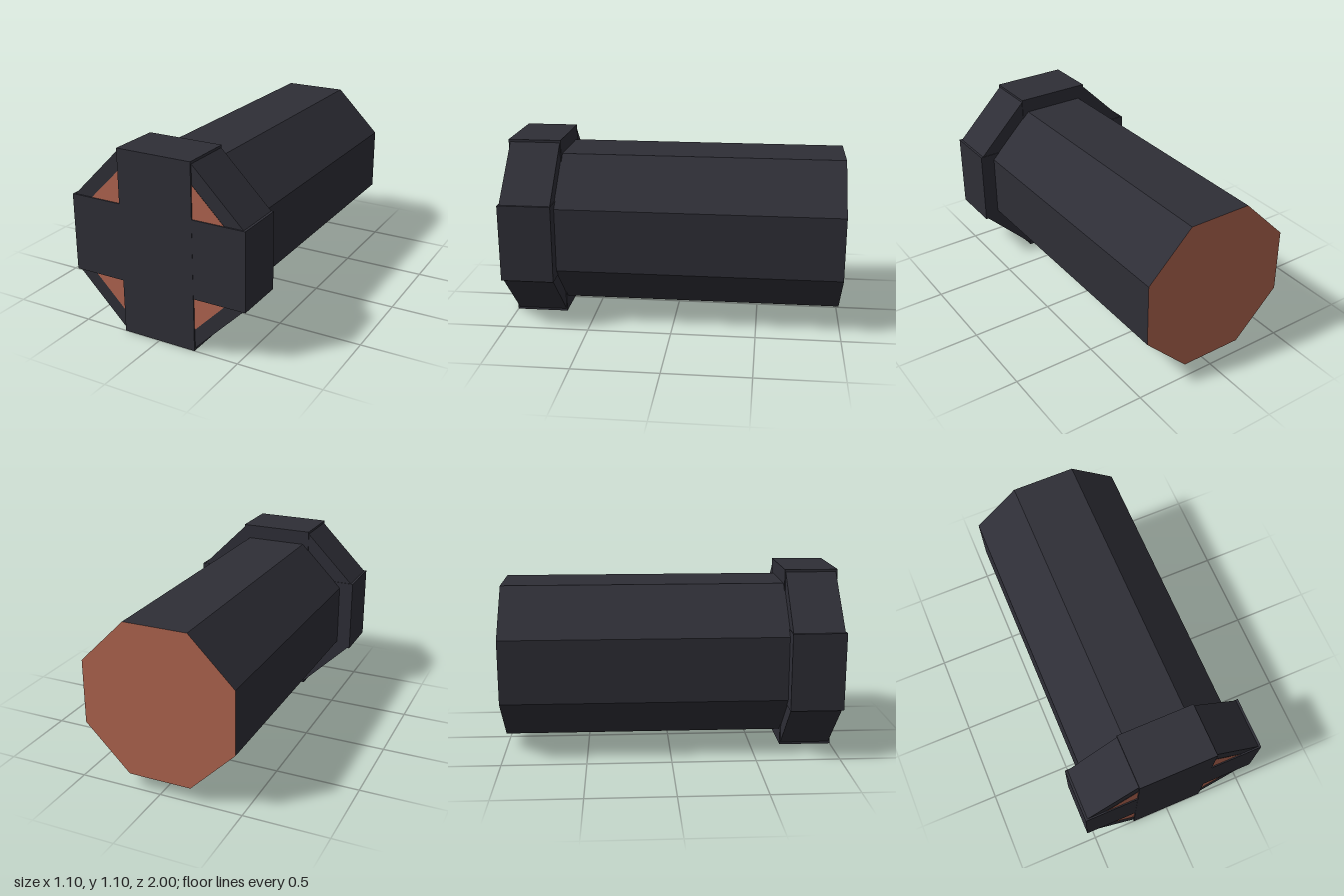
import * as THREE from 'three';

const CENTER_Y = 0.548;

export function createModel() {
  const group = new THREE.Group();
  const dark = new THREE.MeshStandardMaterial({ color: 0x2e2e36 });
  dark.name = 'charcoal';
  const copper = new THREE.MeshStandardMaterial({ color: 0xad634e });
  copper.name = 'copper';

  const add = (name, geometry, material, z0, z1) => {
    const mesh = new THREE.Mesh(geometry, material);
    mesh.name = name;
    mesh.position.set(0, CENTER_Y, (z0 + z1) / 2);
    group.add(mesh);
  };

  // Octagonal prism along z with flat sides up, given its centre-to-side distance
  const octagon = (apothem, length) => {
    const g = new THREE.CylinderGeometry(
      apothem / Math.cos(Math.PI / 8), apothem / Math.cos(Math.PI / 8),
      length, 8, 1, false, Math.PI / 8).rotateX(Math.PI / 2).toNonIndexed();
    g.computeVertexNormals(); // flat facets
    return g;
  };

  // Shaft: dark sides, copper ends, running through to the front of the collar
  add('shaft', octagon(0.46, 1.992), [dark, copper, copper], -1, 0.992);

  // Wider collar around the front end
  add('collar', octagon(0.54, 0.3), dark, 0.69, 0.99);

  // Crossed bars slightly proud of the collar
  add('verticalBar', new THREE.BoxGeometry(0.46, 1.096, 0.315), dark, 0.685, 1);
  add('horizontalBar', new THREE.BoxGeometry(1.096, 0.46, 0.313), dark, 0.686, 0.999);

  return group;
}
